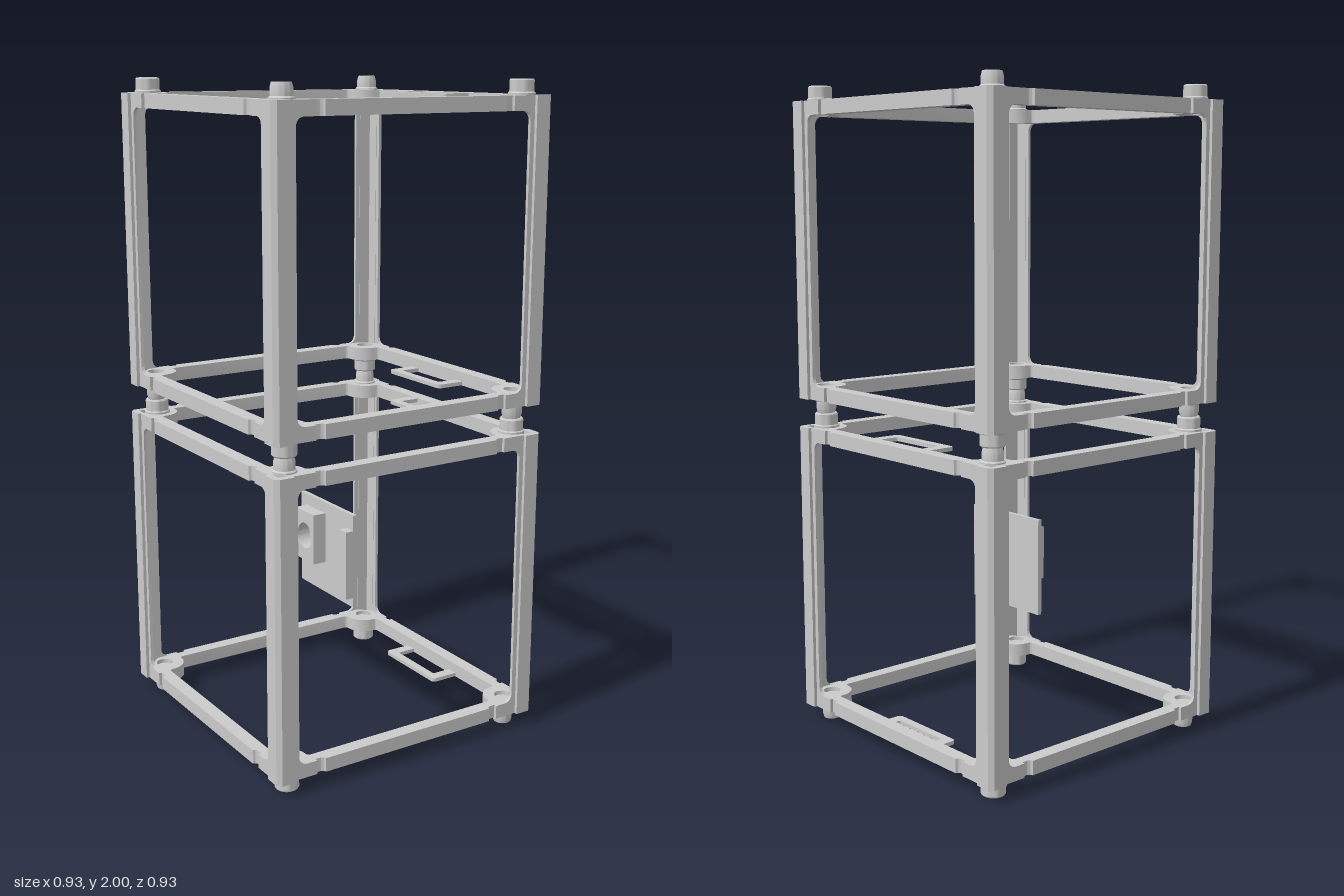
import * as THREE from 'three';
import { toCreasedNormals } from 'three/addons/utils/BufferGeometryUtils.js';

const material = new THREE.MeshStandardMaterial({ color: 0xcccccc });
const LOW = 0.045, HIGH = 0.955;   // rail ends within a one-unit cell
const BAR = 0.043;                 // height of the square end frames

function add(parent, name, geometry) {
  const mesh = new THREE.Mesh(geometry, material);
  mesh.name = name;
  parent.add(mesh);
  return mesh;
}

// Points along an arc, angles in degrees
function arc(cx, cy, r, from, to, steps = 6) {
  return Array.from({ length: steps + 1 }, (_, i) => {
    const a = THREE.MathUtils.degToRad(from + (to - from) * i / steps);
    return new THREE.Vector2(cx + r * Math.cos(a), cy + r * Math.sin(a));
  });
}
const pts = list => list.map(([x, y]) => new THREE.Vector2(x, y));

// Repeat one corner's outline around the four corners
function fourfold(corner) {
  const out = [];
  for (let k = 0; k < 4; k++) {
    for (const p of corner) out.push(p.clone().rotateAround(new THREE.Vector2(), k * Math.PI / 2));
  }
  return out;
}

// Plan shape (x, z) extruded downward from the given top height
function plate(shape, top, depth) {
  const g = new THREE.ExtrudeGeometry(shape, { depth, bevelEnabled: false, curveSegments: 8 });
  g.rotateX(Math.PI / 2);
  g.translate(0, top, 0);
  return toCreasedNormals(g, 0.6);
}

function lathe(profile) {
  return toCreasedNormals(new THREE.LatheGeometry(pts(profile), 32), 0.5);
}

// Square end frame with corner bosses, side bracket and coupling posts; outer face at y = 0
function endFrame() {
  const group = new THREE.Group();
  group.name = 'endFrame';

  const shape = new THREE.Shape(fourfold([
    ...arc(0.457, 0.313, 0.012, 270, 180),
    ...pts([[0.445, 0.405], [0.405, 0.445]]),
    ...arc(0.313, 0.457, 0.012, 270, 180),
  ]));
  shape.holes.push(new THREE.Path(fourfold([
    ...arc(0.403, 0.327, 0.01, 0, 90, 4),
    ...arc(0.4, 0.4, 0.063, 270, 180, 12),
    ...arc(0.327, 0.403, 0.01, 0, 90, 4),
  ])));
  for (const x of [-0.4, 0.4]) for (const z of [-0.4, 0.4]) {
    shape.holes.push(new THREE.Path(arc(x, z, 0.027, 0, 345, 23)));
  }
  add(group, 'squareFrame', plate(shape, 0, BAR));

  // Thin U-shaped bracket on the left bar
  const bracket = new THREE.Shape([
    ...pts([[0.43, -0.137], [0.43, -0.101]]),
    ...arc(0.354, -0.095, 0.006, 270, 180, 3),
    ...arc(0.354, 0.093, 0.006, 180, 90, 3),
    ...pts([[0.43, 0.099], [0.43, 0.135]]),
    ...arc(0.333, 0.123, 0.012, 90, 180, 4),
    ...arc(0.333, -0.125, 0.012, 180, 270, 4),
  ]);
  add(group, 'sideBracket', plate(bracket, -0.001, 0.012));

  // Sockets and plugs alternate around the corners
  const socket = lathe([[0, -0.03], [0.04, -0.03], [0.04, 0.006], [0.036, 0.009], [0.036, 0.041],
    [0.033, 0.045], [0.027, 0.045], [0.027, -0.015], [0, -0.015]]);
  const plug = lathe([[0, -0.03], [0.036, -0.03], [0.036, 0.004], [0.031, 0.008], [0.031, 0.03],
    [0.027, 0.044], [0.022, 0.044], [0.022, 0.02], [0, 0.02]]);
  for (const x of [-0.4, 0.4]) for (const z of [-0.4, 0.4]) {
    const wide = x * z > 0;
    add(group, wide ? 'couplingSocket' : 'couplingPlug', wide ? socket : plug).position.set(x, 0, z);
  }
  return group;
}

// Corner rail: chamfered angle bar plus a thin flange on each face
function cornerRail() {
  const group = new THREE.Group();
  group.name = 'cornerRail';
  const angle = new THREE.Shape(pts([
    [0.465, 0.405], [0.465, 0.452], [0.452, 0.465], [0.405, 0.465],
    [0.405, 0.444], [0.444, 0.444], [0.444, 0.405],
  ]));
  add(group, 'angleBar', plate(angle, HIGH, HIGH - LOW));

  const r = 0.025, lo = LOW + BAR, hi = HIGH - BAR;
  const outline = [
    ...pts([[0.45, LOW], [0.45, HIGH], [0.33, HIGH], [0.33, hi]]),
    ...arc(0.39 - r, hi - r, r, 90, 0),
    ...arc(0.39 - r, lo + r, r, 0, -90),
    ...pts([[0.33, lo], [0.33, LOW]]),
  ];
  for (const side of [1, -1]) {
    const shape = new THREE.Shape(outline.map(p => new THREE.Vector2(side * p.x, p.y)));
    const g = new THREE.ExtrudeGeometry(shape, { depth: 0.01, bevelEnabled: false });
    g.translate(0, 0, 0.445);
    if (side < 0) g.rotateY(Math.PI / 2);
    add(group, 'railFlange', toCreasedNormals(g, 0.6));
  }
  return group;
}

// One open cell: four rails between two end frames
function cell() {
  const group = new THREE.Group();
  group.name = 'cell';
  for (let k = 0; k < 4; k++) {
    const rail = cornerRail();
    rail.rotation.y = k * Math.PI / 2;
    group.add(rail);
  }
  const top = endFrame();
  top.position.y = HIGH;
  const bottom = endFrame();
  bottom.rotation.x = Math.PI;
  bottom.position.y = LOW;
  group.add(top, bottom);
  return group;
}

// Upright board with a connector strip and a round-windowed module
function board() {
  const group = new THREE.Group();
  group.name = 'sensorBoard';
  const box = (name, x0, x1, y0, y1, z0, z1) =>
    add(group, name, new THREE.BoxGeometry(x1 - x0, y1 - y0, z1 - z0))
      .position.set((x0 + x1) / 2, (y0 + y1) / 2, (z0 + z1) / 2);
  box('boardPlate', -0.009, 0.005, 0.387, 0.688, -0.155, 0.151);
  box('connectorStrip', -0.038, -0.009, 0.42, 0.64, 0.117, 0.155);

  const shape = new THREE.Shape(pts([[-0.118, 0.488], [-0.01, 0.488], [-0.01, 0.652], [-0.118, 0.652]]));
  shape.holes.push(new THREE.Path(arc(-0.064, 0.57, 0.042, 0, 350, 35)));
  const g = new THREE.ExtrudeGeometry(shape, { depth: 0.044, bevelEnabled: false });
  g.rotateY(-Math.PI / 2);
  g.translate(-0.009, 0, 0);
  add(group, 'sensorModule', toCreasedNormals(g, 0.6));
  return group;
}

export function createModel() {
  const model = new THREE.Group();
  model.name = 'stackedFrame';
  for (let i = 0; i < 2; i++) {
    const unit = cell();
    unit.position.y = i;
    model.add(unit);
  }
  model.add(board());
  return model;
}
